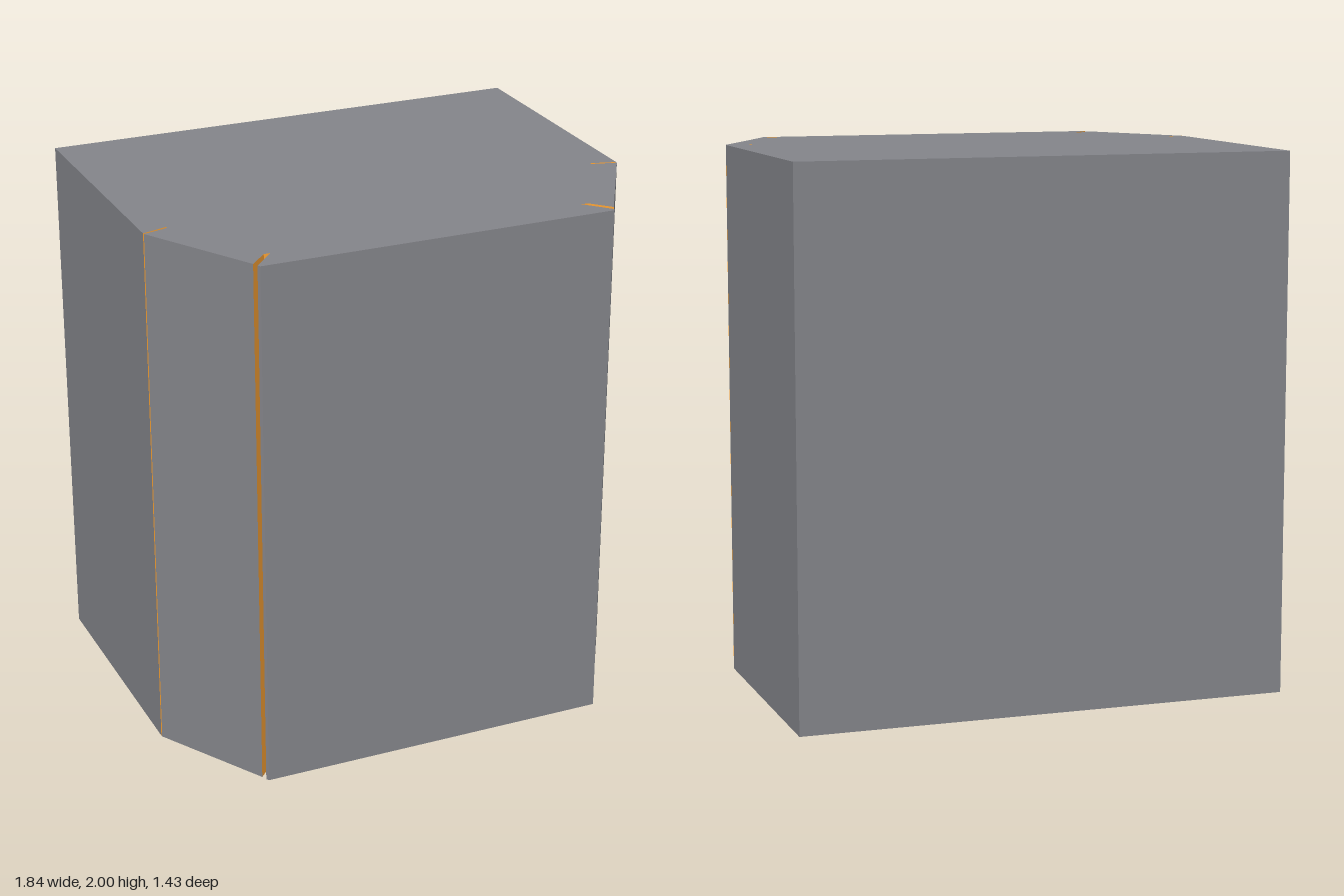
import * as THREE from 'three';
import { mergeGeometries } from 'three/addons/utils/BufferGeometryUtils.js';

const HEIGHT = 2;

// Half of the plan outline, front to back, as [x, z, true if a groove wall starts here]
const half = [
  [0.666, 0.712], [0.672, 0.701, true], [0.59, 0.612, true], [0.614, 0.612, true], [0.68, 0.682],
  [0.918, 0.272, true], [0.825, 0.247, true], [0.827, 0.238, true], [0.919, 0.265], [0.919, -0.714],
];

// Mirrored half, running back to front; each wall keeps its groove flag
const mirrored = half.map(([x, z], i) => [-x, z, i > 0 && half[i - 1][2]]).reverse();
const outline = [...half, ...mirrored];

// Upright wall from plan point p to plan point q
function wall([px, pz], [qx, qz]) {
  const g = new THREE.PlaneGeometry(Math.hypot(qx - px, qz - pz), HEIGHT);
  g.rotateY(-Math.atan2(qz - pz, qx - px));
  g.translate((px + qx) / 2, HEIGHT / 2, (pz + qz) / 2);
  return g;
}

// Flat cap with the grooves cut into its edge
function cap(isTop) {
  const s = isTop ? -1 : 1;
  const shape = new THREE.Shape(outline.map(([x, z]) => new THREE.Vector2(x, s * z)));
  return new THREE.ShapeGeometry(shape).rotateX(s * Math.PI / 2).translate(0, isTop ? HEIGHT : 0, 0);
}

export function createModel() {
  const group = new THREE.Group();
  const outer = [cap(true), cap(false)];
  const grooves = [];
  outline.forEach((p, i) => {
    const q = outline[(i + 1) % outline.length];
    (p[2] ? grooves : outer).push(wall(p, q));
  });

  // Dark grey block with chamfered front corners
  const body = new THREE.Mesh(mergeGeometries(outer), new THREE.MeshStandardMaterial({ color: 0x84858a }));
  body.name = 'body';

  // Orange walls inside the four full-height grooves
  const lining = new THREE.Mesh(
    mergeGeometries(grooves),
    new THREE.MeshStandardMaterial({ color: 0xffa636, side: THREE.DoubleSide })
  );
  lining.name = 'grooveLining';

  group.add(body, lining);
  return group;
}
